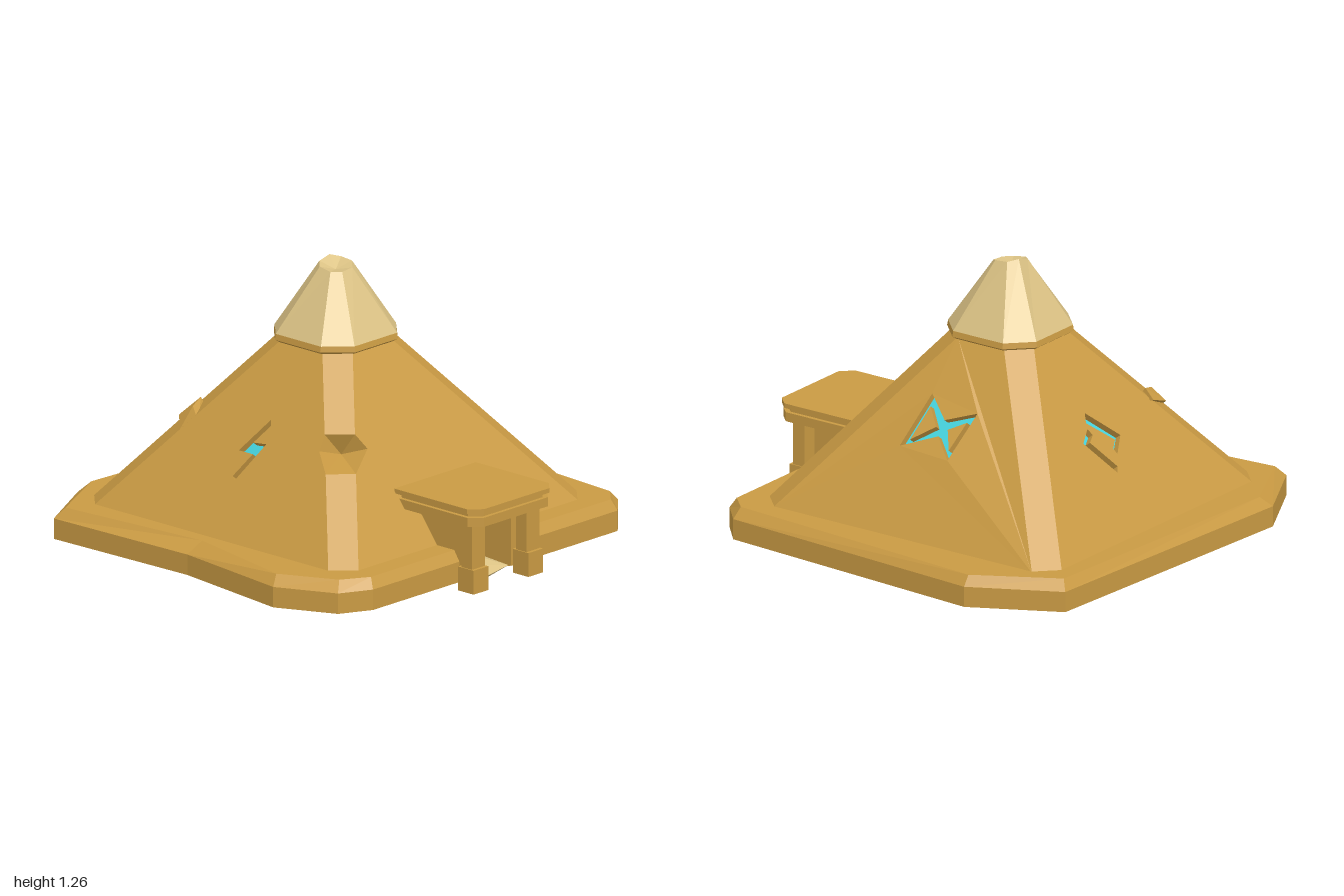
import * as THREE from 'three';
import { ConvexGeometry } from 'three/addons/geometries/ConvexGeometry.js';

const mat = (color) => new THREE.MeshStandardMaterial({ color, flatShading: true, side: THREE.DoubleSide });
const stone = mat(0xc99a43), sand = mat(0xdbc284), glow = mat(0x45d2dc), rubble = mat(0xb39a68), clay = mat(0xcf9550);

const CZ = -0.06, Y0 = 0.21, Y1 = 0.93, CHAMFER = 0.09, SLOPE = 0.555 / 0.72;
const out = (y) => 0.765 - (y - Y0) * SLOPE;      // distance of a face from the axis
const edge = (y) => out(y) - CHAMFER;             // half width of a face
const height = (o) => Y0 + (0.765 - o) / SLOPE;   // inverse of out

// Point on the pyramid face turned by quarter turns q: u across, y up, d along the normal
function onFace(q, u, y, d = 0) {
  const a = q * Math.PI / 2, s = Math.sin(a), c = Math.cos(a);
  const n = Math.hypot(1, SLOPE), o = out(y) + d / n;
  return [s * o + c * u, y + d * SLOPE / n, CZ + c * o - s * u];
}

function fromTriangles(points) {
  const g = new THREE.BufferGeometry();
  g.setAttribute('position', new THREE.Float32BufferAttribute(points.flat(), 3));
  g.computeVertexNormals();
  return g;
}

// Joins closed rings of equal length, listed from bottom to top
function loft(rings) {
  const t = [];
  for (let r = 0; r + 1 < rings.length; r++) {
    const lo = rings[r], hi = rings[r + 1];
    lo.forEach((a, i) => {
      const j = (i + 1) % lo.length;
      t.push(a, lo[j], hi[j], a, hi[j], hi[i]);
    });
  }
  return fromTriangles(t);
}

const fan = (ring, tip) => fromTriangles(ring.flatMap((p, i) => [p, ring[(i + 1) % ring.length], tip]));
const toShape = (pts) => new THREE.Shape(pts.map(([x, y]) => new THREE.Vector2(x, y)));
const octagon = (h, c, y) => [[c - h, h], [h - c, h], [h, h - c], [h, c - h], [h - c, -h], [c - h, -h], [-h, c - h], [-h, h - c]]
  .map(([x, z]) => [x, y, z + CZ]);

export function createModel() {
  const model = new THREE.Group();
  const add = (name, geometry, material = stone, parent = model) => {
    const m = new THREE.Mesh(geometry, material);
    m.name = name;
    parent.add(m);
    return m;
  };
  const group = (name) => {
    const g = new THREE.Group();
    g.name = name;
    model.add(g);
    return g;
  };
  const box = (name, x0, x1, y0, y1, z0, z1, material, parent) =>
    add(name, new THREE.BoxGeometry(x1 - x0, y1 - y0, z1 - z0), material, parent)
      .position.set((x0 + x1) / 2, (y0 + y1) / 2, (z0 + z1) / 2);

  // Irregular base slab with a gap for the doorway: outer x, z and top rim x, z
  const slab = [
    [-0.92, -0.82, -0.88, -0.79], [-0.90, -0.07, -0.82, -0.06], [-0.98, 0.50, -0.94, 0.48], [-0.86, 0.76, -0.82, 0.73],
    [-0.72, 0.83, -0.70, 0.80], [-0.14, 0.83, -0.14, 0.80], [-0.14, 0.45, -0.14, 0.45], [0.11, 0.45, 0.11, 0.45],
    [0.11, 0.83, 0.11, 0.80], [0.78, 0.83, 0.77, 0.80], [0.89, 0.73, 0.85, 0.72], [0.98, -0.54, 0.95, -0.54],
    [0.78, -0.92, 0.75, -0.89], [-0.58, -1.0, -0.54, -0.96]];
  const base = group('base');
  add('baseSides', loft([
    slab.map(([x, z]) => [x, 0.08, z]),
    slab.map(([x, z]) => [x, 0.17, z]),
    slab.map(([, , x, z]) => [x, 0.215, z])]), stone, base);
  add('baseTop', new THREE.ShapeGeometry(toShape(slab.map(([, , x, z]) => [x, -z]))).rotateX(-Math.PI / 2).translate(0, 0.215, 0), stone, base);
  add('baseBottom', new THREE.ShapeGeometry(toShape(slab.map(([x, z]) => [x, z]))).rotateX(Math.PI / 2).translate(0, 0.08, 0), stone, base);

  // Carved symbols, as outlines on their face (u, y)
  const right = (pts) => pts.map(([z, y]) => [CZ - z, y]);
  const back = (pts) => pts.map(([x, z]) => [-x, height(CZ - z)]);
  const left = (pts) => pts.map(([x, z]) => [z - CZ, height(-x)]);
  const hourglass = right([[0.07, 0.72], [-0.045, 0.64], [-0.185, 0.69], [-0.145, 0.505], [-0.05, 0.58], [0.11, 0.515]]);
  const islands = [
    right([[0.05, 0.675], [-0.02, 0.61], [0.075, 0.545]]),
    right([[-0.155, 0.65], [-0.08, 0.61], [-0.13, 0.54]])];
  const brackets = [
    back([[0.03, -0.64], [0.05, -0.655], [0.15, -0.55], [0.08, -0.52], [0.07, -0.54], [0.11, -0.555]]),
    back([[-0.085, -0.57], [-0.01, -0.61], [0, -0.595], [-0.04, -0.575], [0.07, -0.505], [0.045, -0.48]])];
  const zigzag = left([[-0.59, -0.10], [-0.52, -0.05], [-0.52, -0.13], [-0.42, -0.04], [-0.435, -0.025], [-0.49, -0.075], [-0.485, -0.005], [-0.60, -0.08]]);

  // Broken notch on the front corner
  const NL = 0.53, NH = 0.66;
  const frontNotch = [[-edge(NH), NH], [-0.30, 0.60], [-edge(NL), NL]];
  const leftNotch = [[edge(NL), NL], [0.34, 0.60], [edge(NH), NH]];
  const door = [[-0.14, Y0], [-0.14, 0.36], [0.11, 0.36], [0.11, Y0]];

  const faces = [
    { name: 'frontFace', bottom: door, leftEdge: frontNotch },
    { name: 'leftSideFace', holes: [hourglass], islands, bulge: 0.03 },
    { name: 'backFace', holes: brackets },
    { name: 'rightSideFace', holes: [zigzag], rightEdge: leftNotch }];
  const pyramid = group('pyramid');
  faces.forEach(({ name, bottom = [], leftEdge = [], rightEdge = [], holes = [], islands = [], bulge = 0 }, q) => {
    const lift = (y) => (y > 0.4 && y < 0.8 ? bulge * Math.max(0, (0.78 - y) / 0.26) : 0);
    const place = (u, y, d) => onFace(q, u, y, d + lift(y));
    const lay = (shape, d) => {
      const g = new THREE.ShapeGeometry(shape), p = g.attributes.position;
      for (let i = 0; i < p.count; i++) p.setXYZ(i, ...place(p.getX(i), p.getY(i), d));
      g.computeVertexNormals();
      return g;
    };
    const face = toShape([[-edge(Y0), Y0], ...bottom, [edge(Y0), Y0], ...rightEdge, [edge(Y1), Y1], [-edge(Y1), Y1], ...leftEdge]);
    face.holes = holes.map(toShape);
    add(name, lay(face, 0), stone, pyramid);
    holes.forEach((h) => add('symbolGlow', lay(toShape(h), -0.03), glow, pyramid));
    islands.forEach((h) => add('symbolIsland', lay(toShape(h), 0), stone, pyramid));
    [...holes, ...islands].forEach((h) => add('symbolWall',
      loft([h.map(([u, y]) => place(u, y, -0.03)), h.map(([u, y]) => place(u, y, 0))]), stone, pyramid));

    // Chamfered corner to the next face; the notched one is left open in the middle
    const spans = q === 3 ? [[Y0, NL], [NH, Y1]] : [[Y0, Y1]];
    for (const [a, b] of spans) {
      const p = onFace(q, edge(a), a), r = onFace(q + 1, -edge(a), a);
      const s = onFace(q + 1, -edge(b), b), t = onFace(q, edge(b), b);
      add('cornerStrip', fromTriangles([p, r, s, p, s, t]), stone, pyramid);
    }
  });
  const notchRim = [...frontNotch.map(([u, y]) => onFace(0, u, y)), ...leftNotch.map(([u, y]) => onFace(3, u, y))];
  add('brokenNotch', fan(notchRim, [-0.34, 0.56, 0.29]), stone, pyramid);

  // Loose block on the back corner
  add('looseBlock', new ConvexGeometry([
    [-0.51, 0.54, -0.48], [-0.45, 0.58, -0.54], [-0.36, 0.61, -0.54], [-0.37, 0.65, -0.49], [-0.48, 0.58, -0.40],
    [-0.44, 0.63, -0.47], [-0.36, 0.56, -0.42]].map((p) => new THREE.Vector3(...p))), stone, pyramid);

  // Pale capstone with a broken tip
  const cap = group('capstone');
  const tipHeights = [1.23, 1.235, 1.25, 1.255, 1.265, 1.25, 1.24, 1.23];
  const tip = octagon(0.066, 0.035, 0).map(([x, , z], i) => [x, tipHeights[i], z]);
  add('capBand', loft([octagon(0.205, 0.09, 0.915), octagon(0.235, 0.105, 0.935), octagon(0.23, 0.1, 0.96)]), stone, cap);
  add('capBody', loft([octagon(0.23, 0.1, 0.96), tip]), sand, cap);
  add('capBrokenTop', fan(tip, [0, 1.22, CZ]), sand, cap);

  // Entrance porch
  const porch = group('porch');
  const roof = toShape([[-0.27, -0.53], [-0.27, -0.95], [-0.22, -1], [0.18, -1], [0.23, -0.95], [0.23, -0.53]]);
  const roofSlab = (name, y, h, s) => add(name,
    new THREE.ExtrudeGeometry(roof, { depth: h, bevelEnabled: false }).rotateX(-Math.PI / 2).translate(0.02, 0, -0.765).scale(s, 1, s).translate(-0.02, y, 0.765), stone, porch);
  roofSlab('roofTop', 0.425, 0.02, 1);
  roofSlab('roofStep', 0.405, 0.02, 0.91);
  roofSlab('roofBeam', 0.365, 0.04, 0.98);
  for (const side of [-1, 1]) {
    const x = -0.018 + side * 0.168;
    box('column', x - 0.04, x + 0.04, 0.15, 0.365, 0.875, 0.935, stone, porch);
    box('columnFoot', x - 0.045, x + 0.045, 0.06, 0.165, 0.86, 0.95, stone, porch);
    const w = side < 0 ? -0.19 : 0.11;
    box('passageWall', w, w + 0.05, 0.085, 0.365, 0.45, 0.845, stone, porch);
  }
  box('passageBack', -0.14, 0.11, 0.085, 0.365, 0.44, 0.46, stone, porch);

  // Drifted sand in the doorway, rubble and two feet below the base
  const heap = (name, pts, material) => add(name, new ConvexGeometry(pts.map((p) => new THREE.Vector3(...p))), material);
  heap('doorSand', [[-0.13, 0.19, 0.52], [0.1, 0.11, 0.52], [-0.13, 0.065, 0.85], [-0.13, 0.12, 0.74], [0.17, 0.045, 0.72],
    [0, 0.045, 0.80], [0.1, 0.09, 0.84], [-0.1, 0.07, 0.55]], sand);
  heap('rubbleLarge', [[0.02, 0.1, -0.25], [0.25, 0.1, -0.28], [0.38, 0.09, -0.08], [0.37, 0.09, 0.12], [0.14, 0.1, 0.44],
    [0.03, 0.1, 0.25], [0.28, 0.035, 0.08], [0.19, 0.045, -0.02], [0.15, 0.05, 0.2]], rubble);
  heap('rubbleSmall', [[-0.16, 0.09, -0.17], [-0.02, 0.09, -0.24], [0.0, 0.09, -0.14], [-0.12, 0.09, -0.06], [-0.07, 0.06, -0.15]], rubble);
  box('foot', -0.27, -0.18, 0, 0.09, -0.10, -0.01, clay);
  box('foot', 0.11, 0.20, 0, 0.09, 0.15, 0.24, clay);
  return model;
}
